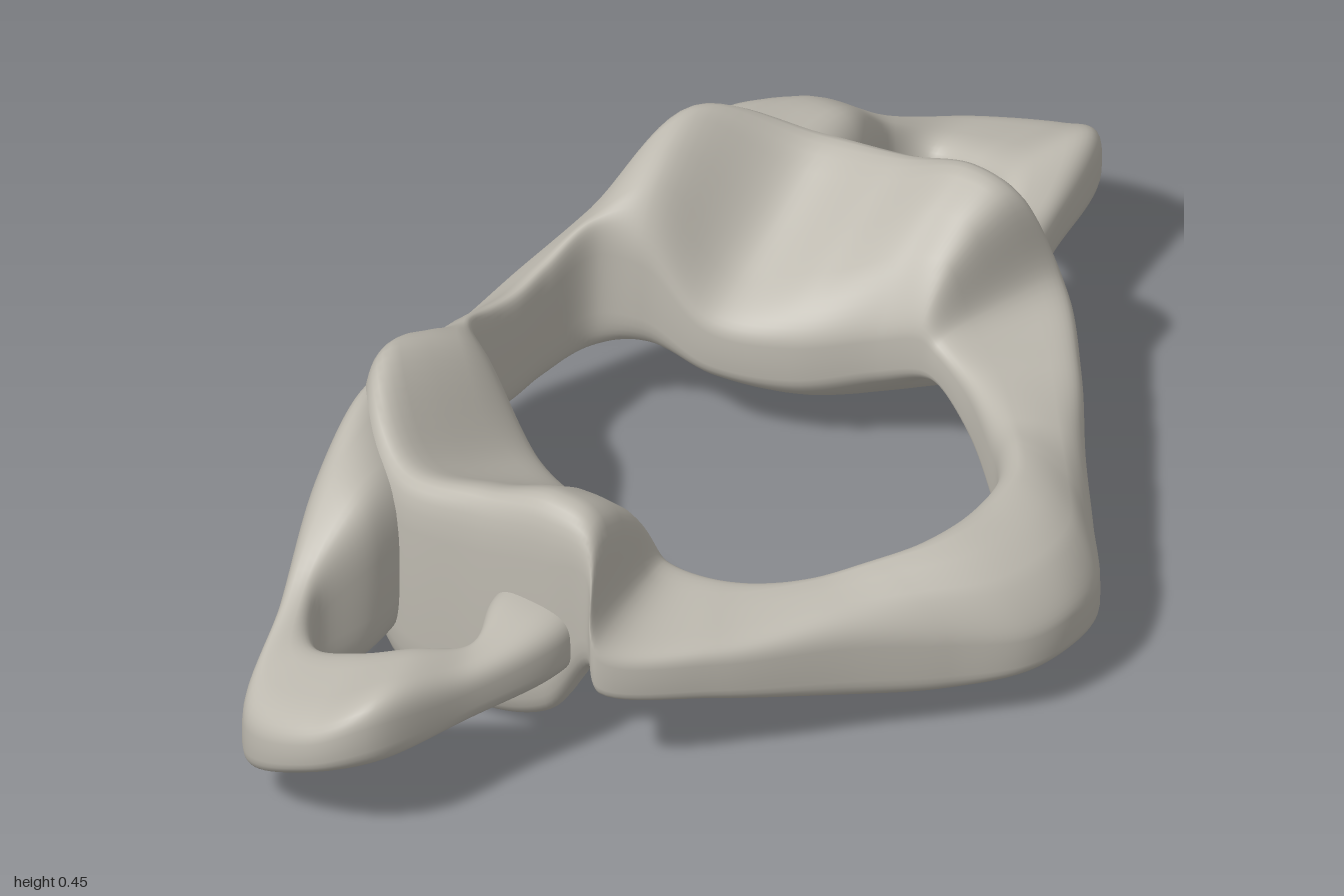
import * as THREE from 'three';

// Station: inner x, z, outer x, z, top y (inner, outer), bottom y (inner, outer), crown of the top
const ringHalf = [
  [0, 0.36, 0, 0.575, 0.25, 0.17, 0.06, 0.07, 0.05],
  [0.11, 0.345, 0.09, 0.555, 0.25, 0.165, 0.06, 0.065, 0.05],
  [0.19, 0.295, 0.19, 0.475, 0.235, 0.185, 0.055, 0.06, 0.04],
  [0.245, 0.24, 0.31, 0.375, 0.22, 0.21, 0.07, 0.075, 0.02],
  [0.315, 0.15, 0.475, 0.25, 0.23, 0.215, 0.105, 0.11, 0],
  [0.345, 0.07, 0.61, 0.125, 0.25, 0.25, 0.15, 0.14, 0],
  [0.345, 0.04, 0.58, 0.08, 0.27, 0.41, 0.15, 0.15, 0.04],
  [0.325, -0.03, 0.58, 0.0, 0.25, 0.45, 0.13, 0.02, 0.04],
  [0.265, -0.14, 0.58, -0.13, 0.23, 0.435, 0.10, -0.03, 0],
  [0.215, -0.26, 0.575, -0.28, 0.24, 0.42, 0.11, -0.01, -0.02],
  [0.19, -0.36, 0.44, -0.43, 0.36, 0.465, 0.14, 0.09, 0.02],
  [0.155, -0.425, 0.22, -0.48, 0.38, 0.35, 0.14, 0.12, 0],
  [0.07, -0.445, 0.08, -0.54, 0.35, 0.27, 0.13, 0.10, 0],
  [0, -0.445, 0, -0.575, 0.345, 0.22, 0.125, 0.085, 0],
];

// Bar that leaves the lateral mass, rounds the foramen and returns
const processLoop = [
  [0.46, -0.10, 0.46, 0.03, 0.25, 0.24, 0.14, 0.14, 0],
  [0.59, -0.09, 0.59, 0.05, 0.26, 0.25, 0.13, 0.14, 0],
  [0.69, -0.055, 0.77, 0.0, 0.24, 0.23, 0.14, 0.14, 0],
  [0.755, -0.105, 0.95, -0.05, 0.255, 0.265, 0.15, 0.13, 0],
  [0.79, -0.18, 1.0, -0.14, 0.24, 0.215, 0.12, 0.105, 0],
  [0.795, -0.26, 0.97, -0.275, 0.225, 0.19, 0.075, 0.055, 0],
  [0.75, -0.295, 0.79, -0.34, 0.265, 0.26, 0.08, 0.08, 0],
  [0.63, -0.265, 0.61, -0.405, 0.36, 0.38, 0.06, 0.12, 0],
  [0.45, -0.28, 0.43, -0.445, 0.29, 0.45, 0.12, 0.13, 0],
  [0.26, -0.39, 0.25, -0.465, 0.27, 0.32, 0.18, 0.17, 0],
];

const STEPS = 10; // rows between two stations
const SIDES = 40; // points around a cross-section

const mirror = ([xi, zi, xo, zo, ...ys]) => [-xi, zi, -xo, zo, ...ys];

// Sweep a rounded quadrilateral through the stations; a higher roundness softens its corners
function loft(stations, closed, roundness) {
  const curve = (pick) => new THREE.CatmullRomCurve3(
    stations.map((s) => new THREE.Vector3(...pick(s))), closed);
  const squash = (c) => Math.sign(c) * Math.abs(c) ** roundness;
  const topIn = curve((s) => [s[0], s[4], s[1]]);
  const topOut = curve((s) => [s[2], s[5], s[3]]);
  const botIn = curve((s) => [s[0], s[6], s[1]]);
  const botOut = curve((s) => [s[2], s[7], s[3]]);
  const crown = curve((s) => [s[8], s[0], s[1]]);
  const spans = (closed ? stations.length : stations.length - 1) * STEPS;
  const rows = closed ? spans : spans + 1;
  const positions = [];
  const index = [];

  for (let i = 0; i < rows; i++) {
    const t = i / spans;
    const [ti, to, bi, bo, rise] = [topIn, topOut, botIn, botOut, crown].map((c) => c.getPoint(t));
    for (let j = 0; j < SIDES; j++) {
      const a = (j / SIDES) * Math.PI * 2;
      const u = squash(Math.cos(a));
      const v = squash(Math.sin(a));
      const top = ti.clone().lerp(to, (u + 1) / 2);
      const p = bi.clone().lerp(bo, (u + 1) / 2).lerp(top, (v + 1) / 2);
      p.y += rise.x * (1 - u * u) * Math.max(v, 0);
      positions.push(p.x, p.y, p.z);
    }
  }
  for (let i = 0; i < spans; i++) {
    for (let j = 0; j < SIDES; j++) {
      const k = (j + 1) % SIDES;
      const r0 = i * SIDES;
      const r1 = ((i + 1) % rows) * SIDES;
      index.push(r0 + j, r1 + j, r1 + k, r0 + j, r1 + k, r0 + k);
    }
  }
  const geometry = new THREE.BufferGeometry();
  geometry.setAttribute('position', new THREE.Float32BufferAttribute(positions, 3));
  geometry.setIndex(index);
  geometry.computeVertexNormals();
  return geometry;
}

// Part of a closed loft between two stations, keeping the shared smooth normals
function section(geometry, from, to) {
  const perStation = STEPS * SIDES * 6;
  const all = Array.from(geometry.index.array);
  const count = all.length / perStation;
  const part = [];
  for (let s = from; s < to; s++) {
    const start = ((s + count) % count) * perStation;
    for (let k = start; k < start + perStation; k++) part.push(all[k]);
  }
  return geometry.clone().setIndex(part);
}

export function createModel() {
  const group = new THREE.Group();
  group.name = 'vertebra';
  const bone = new THREE.MeshStandardMaterial({ color: 0xbdb9af });
  bone.name = 'bone';

  const add = (name, geometry) => {
    const mesh = new THREE.Mesh(geometry, bone);
    mesh.name = name;
    group.add(mesh);
  };

  // Ring around the central canal
  const otherHalf = ringHalf.slice(1, -1).reverse().map(mirror);
  const ring = loft([...ringHalf, ...otherHalf], true, 0.44);
  add('posteriorArch', section(ring, -5, 5));
  add('leftLateralMass', section(ring, 5, 11));
  add('anteriorArch', section(ring, 11, 15));
  add('rightLateralMass', section(ring, 15, 21));

  // Side wings, each with its foramen
  add('leftTransverseProcess', loft(processLoop, false, 0.62));
  add('rightTransverseProcess', loft(processLoop.map(mirror).reverse(), false, 0.62));

  // Rest on the ground
  const box = new THREE.Box3().setFromObject(group);
  group.children.forEach((mesh) => mesh.geometry.translate(0, -box.min.y, 0));
  return group;
}
